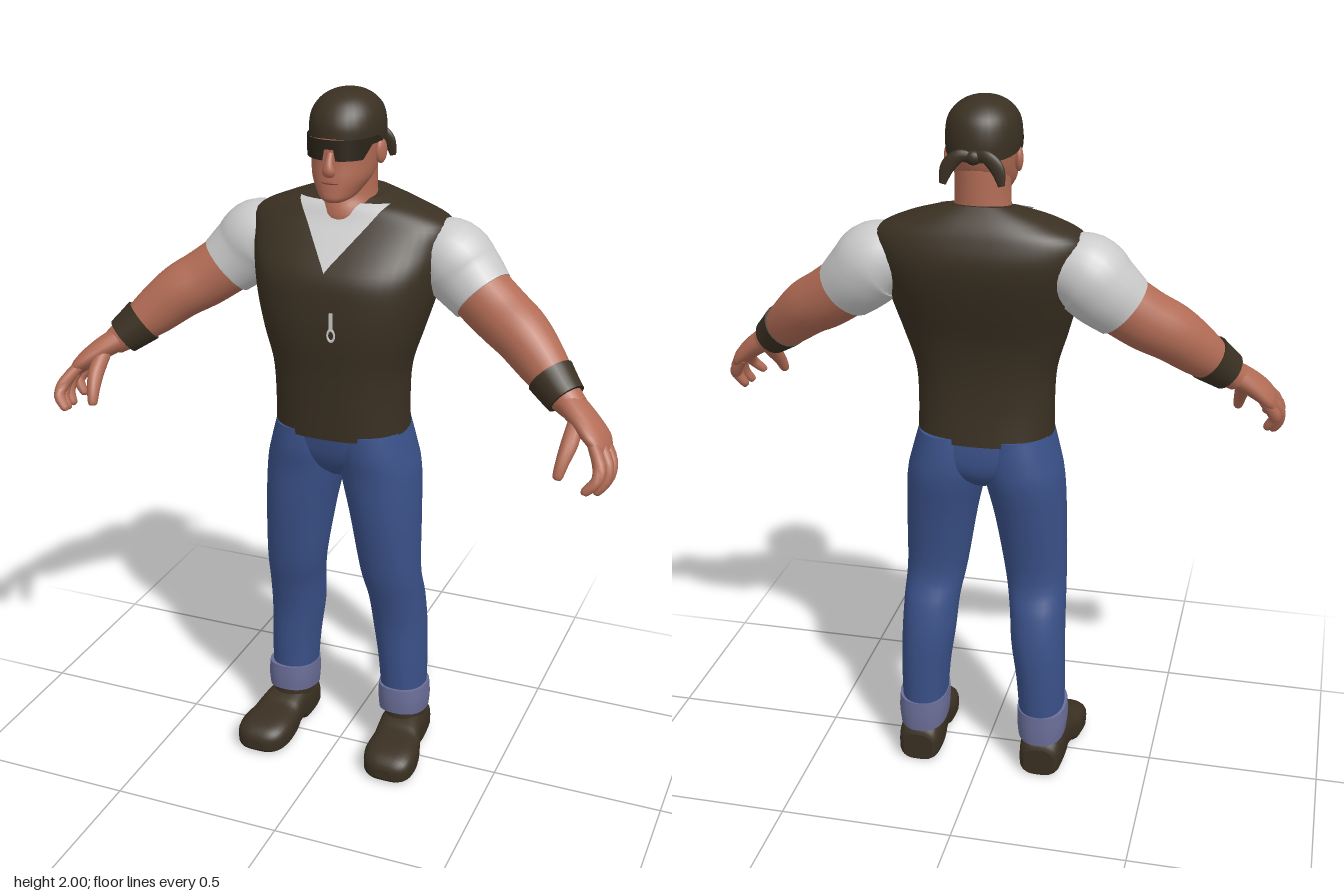
import * as THREE from 'three';

const mat = (name, color, side = THREE.FrontSide) => {
  const m = new THREE.MeshStandardMaterial({ color, side });
  m.name = name;
  return m;
};

// Catmull-Rom blend of the numeric columns of a table, t in 0..rows-1
function rowAt(rows, t) {
  const last = rows.length - 1;
  const i = Math.min(Math.floor(t), last - 1), f = t - i;
  const r = k => rows[Math.max(0, Math.min(last, k))];
  return rows[i].map((_, c) => {
    const [a, b, d, e] = [r(i - 1)[c], r(i)[c], r(i + 1)[c], r(i + 2)[c]];
    return b + 0.5 * f * (d - a + f * (2 * a - 5 * b + 4 * d - e + f * (3 * (b - d) + e - a)));
  });
}
const resample = (rows, k) =>
  Array.from({ length: (rows.length - 1) * k + 1 }, (_, i) => rowAt(rows, i / k));
const sup = (c, p) => Math.sign(c) * Math.abs(c) ** (2 / p);

// Closed skin over rings of points, with flat end caps
function skin(rings) {
  const n = rings[0].length, pos = [], idx = [];
  rings.forEach(r => r.forEach(v => pos.push(v.x, v.y, v.z)));
  for (let i = 0; i < rings.length - 1; i++) for (let j = 0; j < n; j++) {
    const a = i * n + j, b = i * n + (j + 1) % n;
    idx.push(a, b, a + n, b, b + n, a + n);
  }
  [rings[0], rings[rings.length - 1]].forEach((r, end) => {
    const s = pos.length / 3, c = new THREE.Vector3();
    r.forEach(v => { pos.push(v.x, v.y, v.z); c.addScaledVector(v, 1 / n); });
    pos.push(c.x, c.y, c.z);
    for (let j = 0; j < n; j++) {
      const a = s + j, b = s + (j + 1) % n;
      end ? idx.push(s + n, a, b) : idx.push(s + n, b, a);
    }
  });
  return build(pos, idx);
}
function build(pos, idx) {
  const g = new THREE.BufferGeometry();
  g.setAttribute('position', new THREE.Float32BufferAttribute(pos, 3));
  g.setIndex(idx);
  g.computeVertexNormals();
  return g;
}

// Horizontal section row: [y, halfWidth, zCentre, front, back, tilt, xCentre]
function sectionPoint([y, hw, zc, f, b, tilt = 0, cx = 0], a, p) {
  const dz = sup(Math.cos(a), p) * (Math.cos(a) > 0 ? f : b);
  return new THREE.Vector3(cx + hw * sup(Math.sin(a), p), y + tilt * dz, zc + dz);
}
const angles = n => Array.from({ length: n }, (_, i) => i / n * Math.PI * 2);
const loft = (rows, p = 2, k = 4, n = 32) =>
  skin(resample(rows, k).map(r => angles(n).map(a => sectionPoint(r, a, p))));

// Limb along points [x, y, z, radiusTowardsZ, radiusAcross]
function limb(rows, k = 4, n = 16) {
  const pts = resample(rows, k);
  const c = pts.map(q => new THREE.Vector3(q[0], q[1], q[2]));
  return skin(pts.map((q, i) => {
    const t = c[Math.min(i + 1, c.length - 1)].clone().sub(c[Math.max(i - 1, 0)]).normalize();
    const u = new THREE.Vector3(0, 0, 1).addScaledVector(t, -t.z).normalize();
    const w = t.clone().cross(u);
    return angles(n).map(a => c[i].clone().addScaledVector(u, q[3] * Math.cos(a)).addScaledVector(w, q[4] * Math.sin(a)));
  }));
}

// Open patch from a point function of u and v in 0..1
function patch(fn, nu, nv) {
  const pos = [], idx = [], s = nu + 1;
  for (let j = 0; j <= nv; j++) for (let i = 0; i <= nu; i++) pos.push(...fn(i / nu, j / nv).toArray());
  for (let j = 0; j < nv; j++) for (let i = 0; i < nu; i++) {
    const a = j * s + i;
    idx.push(a, a + 1, a + s, a + 1, a + s + 1, a + s);
  }
  return build(pos, idx);
}
function mirrored(g) {
  const m = g.clone().scale(-1, 1, 1), ix = m.index.array;
  for (let i = 0; i < ix.length; i += 3) [ix[i], ix[i + 1]] = [ix[i + 1], ix[i]];
  m.computeVertexNormals();
  return m;
}

export function createModel() {
  const root = new THREE.Group();
  root.name = 'standingMan';
  const leather = mat('darkLeather', 0x3a3022), skinTone = mat('skin', 0xb26c55);
  const denim = mat('denim', 0x3a5189), cuffs = mat('paleDenim', 0x6a6e98);
  const cotton = mat('whiteCotton', 0xcacaca, THREE.DoubleSide);
  const lens = mat('darkGlass', 0x2a2318, THREE.DoubleSide), lip = mat('lips', 0x935041);
  const add = (name, g, m) => {
    const mesh = new THREE.Mesh(g, m);
    mesh.name = name;
    root.add(mesh);
  };
  const pair = (name, g, m) => {
    add(name + 'Left', g, m);
    add(name + 'Right', mirrored(g), m);
  };

  // Vest
  const torso = [
    [1.055, .192, -.03, .145, .14, 0], [1.15, .19, -.03, .15, .13, 0], [1.25, .196, -.03, .157, .13, 0],
    [1.35, .225, -.04, .178, .135, 0], [1.44, .25, -.06, .197, .145, 0], [1.52, .267, -.085, .208, .145, 0],
    [1.59, .281, -.1, .17, .14, 0], [1.65, .28, -.105, .125, .12, 0], [1.69, .2, -.105, .1, .1, 0],
    [1.72, .105, -.1, .07, .07, -.15]];
  add('vest', loft(torso, 2.5, 5, 48), leather);

  // Shirt showing in the V of the vest
  add('shirtFront', patch((u, v) => {
    const r = rowAt(torso, 5.2 + v * 3.2);
    const w = Math.max(0, r[0] - 1.537) * .78;
    const a = Math.asin(Math.min(1, w / r[1]) ** 1.25);
    const s = u * 2 - 1;
    return sectionPoint(r, Math.sign(s) * Math.asin(Math.sin(a) * Math.abs(s) ** 1.25), 2.5)
      .add(new THREE.Vector3(0, .003, .005));
  }, 12, 14), cotton);

  // Zip pull on the chest
  add('zipPull', new THREE.BoxGeometry(.009, .045, .006).translate(.03, 1.415, .142), cotton);
  add('zipRing', new THREE.TorusGeometry(.01, .003, 6, 14).scale(1, 1.6, 1).translate(.03, 1.375, .143), cotton);

  // Neck and head
  add('neck', loft([[1.62, .095, -.09, .1, .08], [1.66, .09, -.085, .105, .075], [1.69, .082, -.08, .095, .072],
    [1.73, .075, -.075, .075, .075], [1.82, .075, -.07, .07, .08]]), skinTone);
  add('head', loft([[1.717, .025, .03, .035, .03], [1.727, .045, .01, .068, .05], [1.75, .062, -.01, .088, .075],
    [1.78, .079, -.03, .105, .09], [1.82, .086, -.045, .115, .105], [1.87, .091, -.055, .122, .11],
    [1.92, .09, -.06, .115, .105], [1.95, .07, -.06, .08, .08]], 2.2), skinTone);
  add('nose', limb([[0, 1.85, .066, .008, .008], [0, 1.825, .077, .014, .012], [0, 1.803, .08, .016, .018],
    [0, 1.794, .07, .008, .012]], 4, 12), skinTone);
  add('mouth', new THREE.SphereGeometry(1, 14, 8).scale(.026, .005, .009).translate(0, 1.772, .07), lip);
  pair('ear', new THREE.SphereGeometry(1, 12, 10).scale(.012, .034, .022).rotateY(-.3).translate(.093, 1.838, -.062), skinTone);

  // Wraparound sunglasses
  add('sunglasses', patch((u, v) => {
    const a = (u * 2 - 1) * 1.7, k = Math.abs(a);
    const low = k < .13 ? 1.862 : k < .9 ? 1.832 : Math.min(1.868, 1.832 + (k - .9) * .12);
    return sectionPoint([low + (1.887 - low) * v, .098, -.05, .131, .1], a, 2.2);
  }, 64, 2), lens);

  // Head scarf with its knot
  add('headScarf', loft([[1.866, .098, -.06, .127, .122, .16], [1.905, .1, -.06, .124, .123, .08],
    [1.945, .093, -.06, .11, .112, 0], [1.975, .071, -.06, .083, .085, 0], [1.993, .04, -.06, .047, .05, 0],
    [2, .004, -.06, .005, .005, 0]], 2.1), leather);
  add('scarfKnot', new THREE.SphereGeometry(1, 14, 10).scale(.022, .019, .016).translate(0, 1.862, -.186), leather);
  pair('scarfTail', limb([[0, 1.863, -.186, .007, .01], [.035, 1.866, -.193, .009, .017],
    [.065, 1.838, -.196, .008, .019], [.077, 1.795, -.2, .004, .009]], 5, 12), leather);

  // Sleeves, arms and wristbands
  pair('sleeve', limb([[.2, 1.575, -.105, .08, .08], [.28, 1.555, -.105, .105, .108],
    [.33, 1.51, -.1, .1, .104], [.382, 1.463, -.083, .088, .092]], 5, 24), cotton);
  pair('arm', limb([[.36, 1.482, -.09, .083, .087], [.44, 1.425, -.065, .082, .084], [.51, 1.382, -.035, .08, .079],
    [.58, 1.322, .002, .066, .068], [.64, 1.27, .04, .05, .05], [.685, 1.235, .06, .042, .038]], 5, 24), skinTone);
  pair('wristband', limb([[.606, 1.3, .02, .065, .067], [.632, 1.277, .036, .06, .061], [.659, 1.254, .051, .056, .055]], 3, 24), leather);

  // Hands
  pair('palm', limb([[.662, 1.252, .052, .042, .037], [.715, 1.218, .08, .055, .032],
    [.762, 1.178, .105, .064, .026], [.785, 1.15, .115, .05, .015]], 4, 18), skinTone);
  const fingers = [ // knuckle, then tip
    [.768, 1.17, .155, .762, 1.072, .228], [.78, 1.165, .128, .782, 1.055, .18],
    [.783, 1.16, .098, .788, 1.053, .14], [.772, 1.16, .068, .773, 1.072, .1]];
  fingers.forEach(([x, y, z, tx, ty, tz], i) => pair('finger' + (i + 1), limb([
    [x - .012, y + .012, z - .008, .015, .015], [x + .018, y - .032, z + (tz - z) * .4, .019, .018],
    [x + .02, ty + .035, z + (tz - z) * .8, .017, .016], [tx, ty + .006, tz, .012, .012],
    [tx - .004, ty, tz + .002, .003, .003]], 3, 10), skinTone));
  pair('thumb', limb([[.7, 1.212, .1, .022, .022], [.698, 1.172, .15, .023, .023], [.69, 1.132, .185, .019, .018],
    [.684, 1.096, .205, .013, .013], [.683, 1.09, .208, .003, .003]], 4, 12), skinTone);

  // Jeans
  add('jeansSeat', loft([[.915, .045, -.035, .065, .08], [.95, .12, -.035, .105, .12],
    [1, .198, -.033, .128, .137], [1.07, .188, -.03, .14, .137]], 2.4), denim);
  pair('jeansLeg', loft([
    [.16, .065, -.08, .08, .08, 0, .18], [.3, .071, -.08, .088, .088, 0, .175], [.42, .078, -.078, .093, .09, 0, .165],
    [.52, .081, -.06, .095, .09, 0, .159], [.62, .088, -.03, .09, .09, 0, .148], [.8, .101, -.03, .115, .118, 0, .131],
    [.93, .112, -.035, .13, .14, 0, .113], [1, .106, -.033, .138, .143, 0, .103],
    [1.07, .095, -.03, .135, .137, 0, .095]], 2.2), denim);
  pair('jeansCuff', loft([[.122, .07, -.077, .09, .088, .2, .182], [.165, .074, -.077, .092, .09, .17, .182],
    [.21, .072, -.077, .09, .088, .12, .181]], 2.4, 3), cuffs);

  // Boots: [z, xCentre, halfWidth, top, bottom]
  const boot = [[-.16, .186, .045, .085, 0], [-.145, .186, .06, .11, 0], [-.09, .187, .066, .125, 0],
    [-.05, .189, .065, .125, 0], [-.03, .191, .066, .122, .018], [.01, .196, .07, .11, .016], [.04, .2, .075, .098, 0],
    [.1, .204, .081, .092, 0], [.145, .207, .072, .08, 0], [.168, .208, .05, .062, .005], [.176, .208, .025, .045, .015]];
  pair('boot', skin(resample(boot, 3).map(([z, cx, hw, top, low]) => angles(28).map(a => new THREE.Vector3(
    cx + hw * sup(Math.cos(a), 3),
    Math.max(0, (top + low) / 2 + (top - low) / 2 * sup(Math.sin(a), Math.sin(a) < 0 ? 5 : 2.6)), z)))), leather);
  pair('bootShaft', loft([[.06, .062, -.08, .08, .072, 0, .187], [.12, .06, -.08, .078, .072, 0, .186],
    [.19, .058, -.08, .07, .07, 0, .183]], 2.2, 2), leather);

  return root;
}
